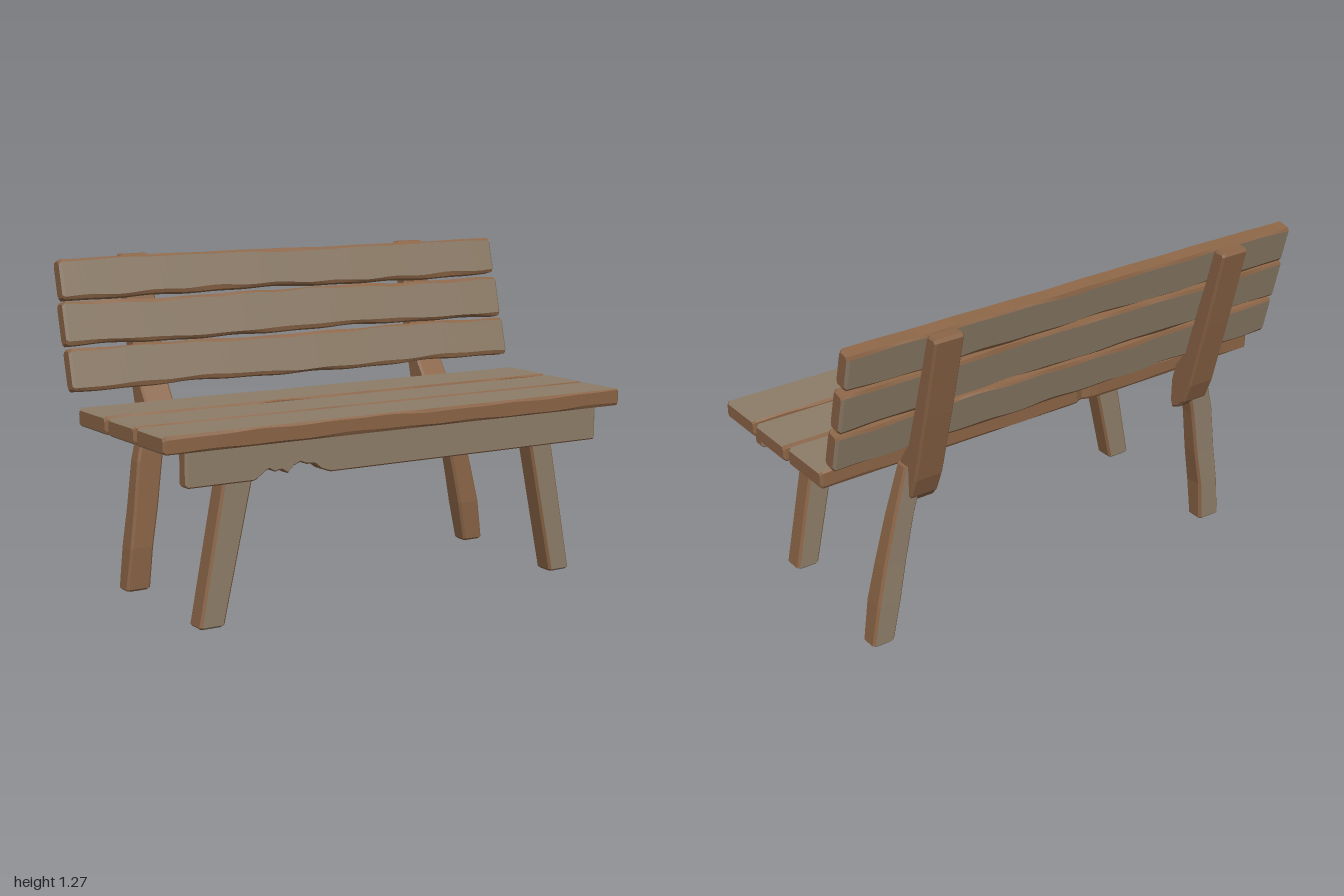
import * as THREE from 'three';

const grey = new THREE.MeshStandardMaterial({ color: 0x8d7c68 });
grey.name = 'weathered face';
const brown = new THREE.MeshStandardMaterial({ color: 0x8a6446 });
brown.name = 'raw edge';

// smooth repeatable waviness in 0..1
const wave = (x, s) =>
  0.5 + 0.22 * Math.sin(x * 5.1 + s * 2.3) + 0.16 * Math.sin(x * 11.7 + s * 4.1) + 0.12 * Math.sin(x * 23 + s * 7.7);

// linear interpolation through [position, value] points
function lerpPoints(points, t) {
  if (t <= points[0][0]) return points[0][1];
  for (let i = 1; i < points.length; i++) {
    const [a, va] = points[i - 1], [b, vb] = points[i];
    if (t <= b) return va + (vb - va) * (t - a) / (b - a);
  }
  return points[points.length - 1][1];
}

// bevelled rectangle section; c holds the bevel depth along p at each corner
function section(p0, p1, q0, q1, b = 0.008, c = [b, b, b, b]) {
  return [[p1, q0 + b], [p1, q1 - b], [p1 - c[0], q1], [p0 + c[1], q1],
    [p0, q1 - b], [p0, q0 + b], [p0 + c[2], q0], [p1 - c[3], q0]];
}

// skin a list of equal rings; greySides lists the section sides with the weathered face
function loft(name, rings, greySides) {
  const lists = [[], []];
  const n = rings[0].length;
  const tri = (k, a, b, c) => lists[k].push(...a, ...b, ...c);
  for (let i = 0; i < rings.length - 1; i++) {
    for (let j = 0; j < n; j++) {
      const m = (j + 1) % n, k = greySides.includes(j) ? 0 : 1;
      tri(k, rings[i][j], rings[i][m], rings[i + 1][m]);
      tri(k, rings[i][j], rings[i + 1][m], rings[i + 1][j]);
    }
  }
  const first = rings[0], last = rings[rings.length - 1];
  for (let j = 1; j < n - 1; j++) {
    tri(1, first[0], first[j + 1], first[j]);
    tri(1, last[0], last[j], last[j + 1]);
  }
  const geo = new THREE.BufferGeometry();
  geo.setAttribute('position', new THREE.Float32BufferAttribute([...lists[0], ...lists[1]], 3));
  geo.addGroup(0, lists[0].length / 3, 0);
  geo.addGroup(lists[0].length / 3, lists[1].length / 3, 1);
  geo.computeVertexNormals();
  const mesh = new THREE.Mesh(geo, [grey, brown]);
  mesh.name = name;
  return mesh;
}

// board along x: sectionAt(x, inset) gives the section, place maps (p, q) to (y, z)
function board(name, x0, x1, steps, greySides, sectionAt, place = (p, q) => [p, q]) {
  const rings = [];
  const add = (x, at, inset) => rings.push(sectionAt(at, inset).map(([p, q]) => [x, ...place(p, q)]));
  add(x0, x0, 0.008);
  for (let i = 0; i <= steps; i++) {
    const x = x0 + 0.01 + (x1 - x0 - 0.02) * i / steps;
    add(x, x, 0);
  }
  add(x1, x1, 0.008);
  return loft(name, rings, greySides);
}

// leg through stations [y, xMin, xMax, zMin, zMax]
function leg(name, stations, greySides) {
  const s = stations.map((v) => [...v]);
  const b = s[0], e = 0.008;
  s.unshift([b[0] - e, b[1] + e, b[2] - e, b[3] + e, b[4] - e]);
  const rings = s.map(([y, x0, x1, z0, z1]) =>
    section(z0, z1, x0, x1, 0.009).map(([p, q]) => [q, y, p]));
  return loft(name, rings, greySides);
}

export function createModel() {
  const bench = new THREE.Group();
  bench.name = 'bench';

  // seat planks with chipped long edges
  [[0.28, 0.49, 0.73], [0.05, 0.262, 0.73], [-0.2, 0.03, 0.733]].forEach(([z0, z1, top], i) => {
    bench.add(board('seatPlank', -0.997 + i * 0.001, 0.993 + (i % 2) * 0.004, 60, [0, 4], (x, e) => {
      const chip = [0, 1, 2, 3].map((k) => 0.003 + 0.012 * wave(x, i * 4 + k));
      const notch = i === 2 ? 0.018 * Math.exp(-(((x + 0.17) / 0.025) ** 2)) : 0;
      return section(0.665 + e, top - e, z0 + e + notch, z1 - e, 0.006, chip);
    }));
  });

  // backrest planks, leaning back
  const tilt = 0.245, c = Math.cos(tilt), s = Math.sin(tilt);
  const lean = (p, q) => [0.776 + p * c + q * s, -0.262 - p * s + q * c];
  [[0, 0.167, -0.995, 0.995], [0.168, 0.342, -0.997, 0.99], [0.343, 0.502, -0.99, 0.985]].forEach(([p0, p1, x0, x1], i) => {
    bench.add(board('backPlank', x0, x1, 64, [2, 6], (x, e) => {
      const chip = [0, 1, 2, 3].map((k) => 0.004 + 0.014 * wave(x, 20 + i * 4 + k));
      const low = 0.014 * wave(x, 40 + i);
      const high = (i === 2 ? 0.006 : 0.012) * wave(x, 50 + i);
      return section(p0 + low + e, p1 - high - e, -0.031 + e, 0.031 - e, 0.007, chip);
    }, lean));
  });

  // front apron with a rotten bite in its lower edge
  const bite = [[-0.63, 0], [-0.6, 0.02], [-0.575, 0.038], [-0.55, 0.022], [-0.525, 0.03], [-0.495, 0.012],
    [-0.475, 0.036], [-0.445, 0.048], [-0.42, 0.038], [-0.385, 0.036], [-0.36, 0.014], [-0.32, 0]];
  bench.add(board('apron', -0.9, 0.9, 140, [2, 6], (x, e) =>
    section(0.535 + lerpPoints(bite, x) + e, 0.668, 0.405 + e, 0.46 - e, 0.005)));

  // splayed front legs
  bench.add(leg('frontLegRight', [[0.018, -0.82, -0.72, 0.315, 0.4], [0.668, -0.695, -0.572, 0.315, 0.4]], [0, 4]));
  bench.add(leg('frontLegLeft', [[0.018, 0.735, 0.83, 0.315, 0.4], [0.668, 0.598, 0.705, 0.315, 0.4]], [0, 4]));

  // slightly bowed back legs
  const backZ = [[0.01, -0.3, -0.226], [0.17, -0.3, -0.214], [0.32, -0.296, -0.218], [0.5, -0.294, -0.225], [0.7, -0.292, -0.236]];
  const rightX = [[-0.8, -0.7], [-0.785, -0.69], [-0.765, -0.665], [-0.745, -0.64], [-0.7, -0.6]];
  const leftX = [[0.775, 0.868], [0.74, 0.84], [0.71, 0.805], [0.67, 0.76], [0.61, 0.705]];
  [['backLegRight', rightX], ['backLegLeft', leftX]].forEach(([name, xs]) =>
    bench.add(leg(name, backZ.map(([y, z0, z1], i) => [y, ...xs[i], z0, z1]), [4])));

  // backrest supports, outlined from the side as [z, y]
  const outline = [[-0.232, 0.53], [-0.22, 0.56], [-0.222, 0.65], [-0.24, 0.715], [-0.292, 0.79], [-0.387, 1.11],
    [-0.428, 1.255], [-0.44, 1.265], [-0.48, 1.263], [-0.487, 1.25], [-0.41, 0.94], [-0.335, 0.66], [-0.302, 0.58], [-0.27, 0.545]];
  const shape = new THREE.Shape(outline.map(([z, y]) => new THREE.Vector2(z, y)));
  const supportGeo = new THREE.ExtrudeGeometry(shape, {
    depth: 0.104, bevelEnabled: true, bevelSize: 0.008, bevelOffset: -0.008, bevelThickness: 0.008, bevelSegments: 1,
  });
  supportGeo.translate(0, 0, -0.052).rotateY(-Math.PI / 2);
  [['backSupportRight', -0.64], ['backSupportLeft', 0.632]].forEach(([name, x]) => {
    const support = new THREE.Mesh(supportGeo, brown);
    support.name = name;
    support.position.x = x;
    bench.add(support);
  });

  return bench;
}
